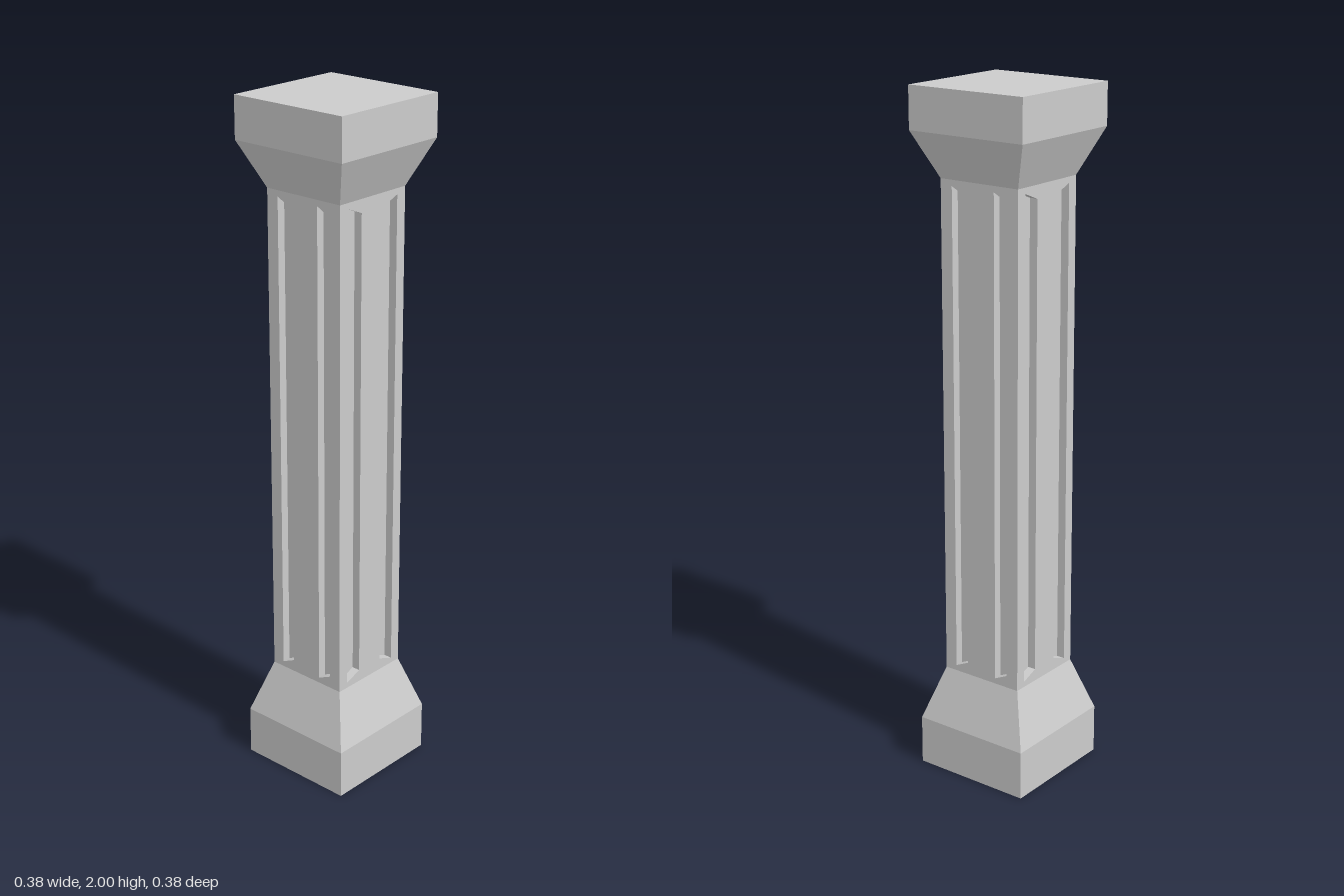
import * as THREE from 'three';

const HALF = 0.13;             // half width of the shaft
const DEPTH = 0.025;           // depth of the grooves
const Y0 = 0.305, Y1 = 1.75;   // shaft bottom and top

const material = new THREE.MeshStandardMaterial({ color: 0xcccccc, flatShading: true });

function addMesh(parent, name, geometry) {
  const mesh = new THREE.Mesh(geometry, material);
  mesh.name = name;
  parent.add(mesh);
  return mesh;
}

// Square stepped block from [half width, height] pairs
function squareBlock(profile) {
  const points = profile.map(([h, y]) => new THREE.Vector2(h * Math.SQRT2, y));
  return new THREE.LatheGeometry(points, 4, Math.PI / 4);
}

// Upright slot whose slanted ends make one side longer than the other
function slot(xLong, xShort) {
  return new THREE.Path([
    new THREE.Vector2(xLong, 0.321), new THREE.Vector2(xShort, 0.341),
    new THREE.Vector2(xShort, 1.712), new THREE.Vector2(xLong, 1.733),
  ]);
}

// Shaft face pierced by slots
function panel(halfWidth, slots) {
  const shape = new THREE.Shape([
    new THREE.Vector2(-halfWidth, Y0), new THREE.Vector2(halfWidth, Y0),
    new THREE.Vector2(halfWidth, Y1), new THREE.Vector2(-halfWidth, Y1),
  ]);
  shape.holes = slots.map(([a, b]) => slot(a, b));
  const geometry = new THREE.ExtrudeGeometry(shape, { depth: DEPTH, bevelEnabled: false });
  return geometry.translate(0, 0, HALF - DEPTH);
}

export function createModel() {
  const column = new THREE.Group();
  column.name = 'column';

  // Base and capital
  addMesh(column, 'base', squareBlock([[0, 0], [0.183, 0], [0.183, 0.145], [HALF, Y0], [0, Y0]]));
  addMesh(column, 'capital', squareBlock([[0, Y1], [HALF, Y1], [0.1885, 1.88], [0.1885, 2], [0, 2]]));

  // Shaft: inner core forms the groove floors, panels form the faces
  const shaft = new THREE.Group();
  shaft.name = 'shaft';
  column.add(shaft);
  const core = 2 * (HALF - DEPTH);
  addMesh(shaft, 'shaftCore', new THREE.BoxGeometry(core, Y1 - Y0, core)).position.y = (Y0 + Y1) / 2;

  const wide = panel(HALF, [[-0.092, -0.05], [0.05, 0.092]]);
  const narrow = panel(HALF - DEPTH, [[-0.098, -0.045], [0.098, 0.045]]);
  ['frontPanel', 'leftPanel', 'backPanel', 'rightPanel'].forEach((name, i) => {
    addMesh(shaft, name, i % 2 ? narrow : wide).rotation.y = (i * Math.PI) / 2;
  });

  return column;
}
